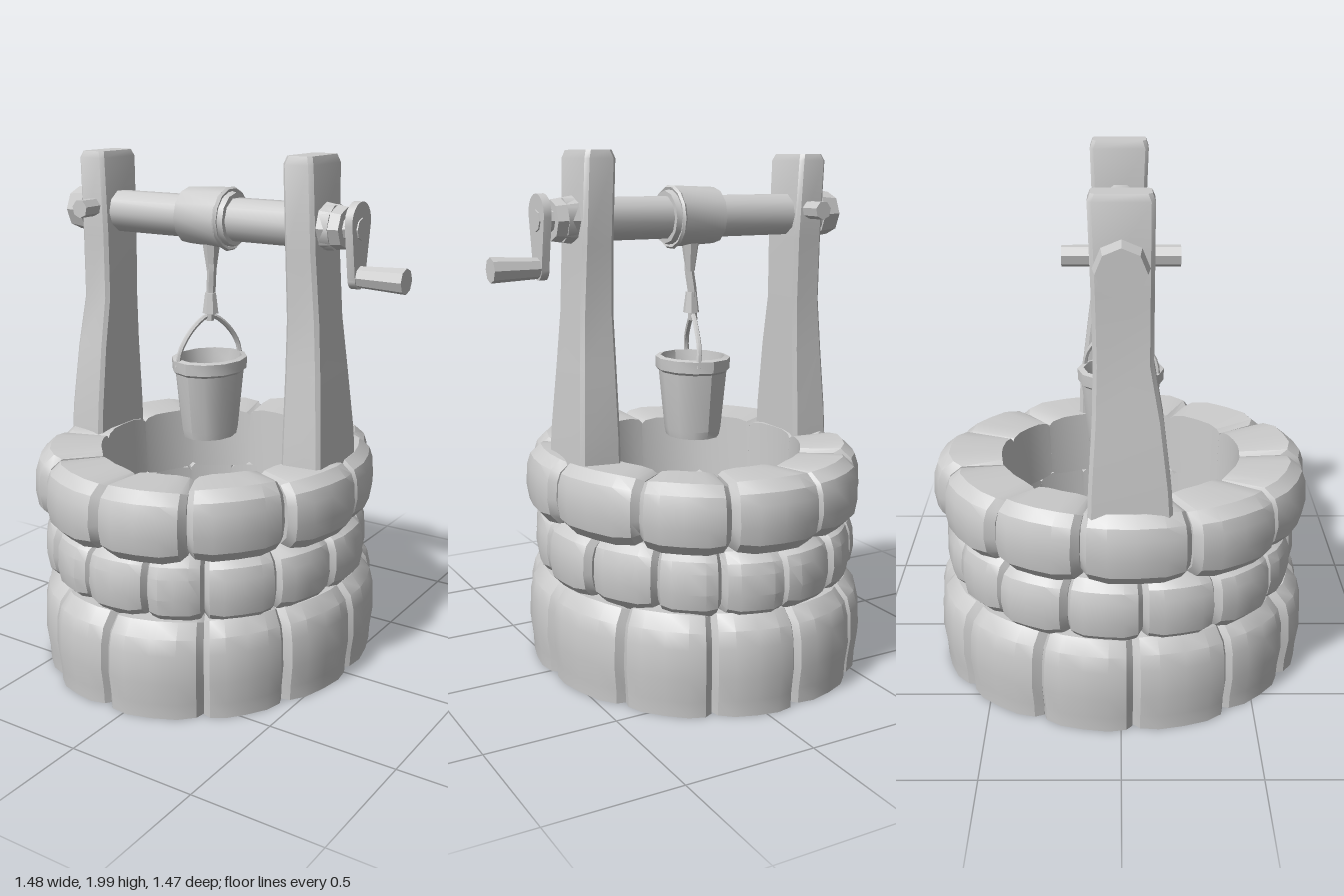
import * as THREE from 'three';
import { toCreasedNormals } from 'three/addons/utils/BufferGeometryUtils.js';

const grey = new THREE.MeshStandardMaterial({ color: 0xcccccc, side: THREE.DoubleSide });
const CX = -0.095; // centre of the well shaft
const AXLE_Y = 1.74;

let seed = 7;
const rnd = (amount) => {
  seed = (seed * 16807) % 2147483647;
  return (seed / 2147483647 - 0.5) * 2 * amount;
};

function add(parent, name, geometry, crease = 0.6) {
  const mesh = new THREE.Mesh(toCreasedNormals(geometry, crease), grey);
  mesh.name = name;
  parent.add(mesh);
  return mesh;
}

// Skin a list of equal-length sections (counter-clockwise about the sweep) and cap both ends
function loft(sections) {
  const n = sections[0].length, last = (sections.length - 1) * n, index = [];
  for (let i = 0; i < sections.length - 1; i++) {
    for (let j = 0; j < n; j++) {
      const a = i * n + j, b = i * n + (j + 1) % n;
      index.push(a, b, b + n, a, b + n, a + n);
    }
  }
  for (let j = 1; j < n - 1; j++) {
    index.push(0, j + 1, j, last, last + j, last + j + 1);
  }
  const geometry = new THREE.BufferGeometry();
  geometry.setAttribute('position', new THREE.Float32BufferAttribute(sections.flat(2), 3));
  geometry.setIndex(index);
  return geometry;
}

// One curved, pillow-shaped stone between two angles
function stone(a0, a1, y0, y1, ro, ri, flatBase) {
  const out = ro + rnd(0.012), top = y1 + rnd(0.008), skew = rnd(0.015);
  const sections = [1, 0.93, 0.75, 0.5, 0.25, 0.07, 0].map((u) => {
    const end = u === 0 || u === 1 ? 1 : u === 0.07 || u === 0.93 ? 0.35 : 0;
    const a = a0 + (a1 - a0) * u;
    const r = out - 0.045 * end + skew * (u - 0.5);
    const b = y0 + (flatBase ? 0 : 0.02 * end), t = top - 0.022 * end;
    const h = t - b;
    const profile = [
      [ri, b], [r - (flatBase ? 0.015 : 0.055), b], [r - 0.012, b + 0.16 * h], [r, b + 0.4 * h],
      [r - 0.005, b + 0.7 * h], [r - 0.02, b + 0.86 * h], [r - 0.065, t], [ri + 0.01, t - 0.008],
    ];
    return profile.map(([rad, y]) => [CX + rad * Math.sin(a) * 0.885, y, rad * Math.cos(a)]);
  });
  return loft(sections);
}

// Bevelled timber: each level is [y, x0, x1, z0, z1]
function timber(levels) {
  const c = 0.014;
  return loft(levels.map(([y, x0, x1, z0, z1]) => [
    [x0, y, z0 + c], [x0, y, z1 - c], [x0 + c, y, z1], [x1 - c, y, z1],
    [x1, y, z1 - c], [x1, y, z0 + c], [x1 - c, y, z0], [x0 + c, y, z0],
  ]));
}

// Cylinder along x between two positions
function barX(parent, name, x0, x1, r0, r1, y, sides = 10) {
  const g = new THREE.CylinderGeometry(r1, r0, x1 - x0, sides);
  g.rotateZ(-Math.PI / 2);
  g.translate((x0 + x1) / 2, y, 0);
  return add(parent, name, g, 0.75);
}

const tube = (points, radius, segments = 16, sides = 6) => new THREE.TubeGeometry(
  new THREE.CatmullRomCurve3(points.map((p) => new THREE.Vector3(...p))), segments, radius, sides);

function buildWall() {
  const wall = new THREE.Group();
  wall.name = 'stoneWall';
  const rows = [
    { name: 'bottomStone', count: 12, start: 0.06, y0: 0, y1: 0.37, ro: 0.735, ri: 0.47, flat: true },
    { name: 'middleStone', count: 15, start: 0.23, y0: 0.35, y1: 0.605, ro: 0.7, ri: 0.465 },
    { name: 'topStone', count: 11, start: -0.05, y0: 0.595, y1: 0.86, ro: 0.73, ri: 0.455 },
  ];
  for (const { name, count, start, y0, y1, ro, ri, flat } of rows) {
    const step = (Math.PI * 2) / count;
    const joints = Array.from({ length: count }, (_, i) => start + i * step + rnd(0.035));
    joints.push(joints[0] + Math.PI * 2);
    for (let i = 0; i < count; i++) {
      add(wall, name, stone(joints[i], joints[i + 1], y0, y1, ro, ri, flat), 0.5);
    }
  }
  return wall;
}

function buildFrame() {
  const frame = new THREE.Group();
  frame.name = 'frame';
  add(frame, 'rightPost', timber([
    [0.8, -0.67, -0.51, -0.12, 0.185], [0.95, -0.665, -0.51, -0.115, 0.175],
    [1.2, -0.65, -0.51, -0.1, 0.145], [1.4, -0.635, -0.51, -0.095, 0.11],
    [1.65, -0.635, -0.51, -0.1, 0.11], [1.95, -0.64, -0.52, -0.11, 0.11], [1.975, -0.63, -0.53, -0.1, 0.1],
  ]));
  add(frame, 'leftPost', timber([
    [0.8, 0.305, 0.475, -0.175, 0.125], [0.95, 0.305, 0.468, -0.17, 0.12],
    [1.2, 0.302, 0.45, -0.14, 0.1], [1.4, 0.3, 0.435, -0.115, 0.09],
    [1.65, 0.295, 0.42, -0.11, 0.1], [1.96, 0.288, 0.41, -0.12, 0.11], [1.99, 0.298, 0.4, -0.11, 0.1],
  ]));
  // Locking peg through the post and the axle
  const peg = new THREE.CylinderGeometry(0.036, 0.036, 0.39, 7);
  peg.rotateX(Math.PI / 2);
  peg.translate(-0.57, 1.76, 0);
  add(frame, 'lockingPeg', peg);
  return frame;
}

function buildWindlass() {
  const windlass = new THREE.Group();
  windlass.name = 'windlass';
  barX(windlass, 'axle', -0.7, 0.46, 0.083, 0.083, AXLE_Y);
  barX(windlass, 'axleCap', -0.73, -0.655, 0.085, 0.095, AXLE_Y, 8);
  barX(windlass, 'axleEnd', 0.4, 0.5, 0.09, 0.075, AXLE_Y, 8);
  barX(windlass, 'axlePin', 0.48, 0.56, 0.045, 0.04, AXLE_Y, 8);
  // Rope drum, slightly fuller on one side of the winding
  barX(windlass, 'drum', -0.185, 0.0, 0.108, 0.116, AXLE_Y + 0.003, 12);
  barX(windlass, 'drumCollar', 0.0, 0.03, 0.106, 0.1, AXLE_Y, 12);
  const wrap = new THREE.TorusGeometry(0.112, 0.01, 5, 14);
  wrap.rotateY(Math.PI / 2);
  wrap.translate(0.003, AXLE_Y, 0);
  add(windlass, 'ropeTurn', wrap, 1);

  // Crank arm: a tapering rounded plate
  const arm = new THREE.Shape();
  arm.absarc(0, 1.765, 0.072, -0.15, Math.PI + 0.15, false);
  arm.lineTo(-0.04, 1.56);
  arm.absarc(0, 1.565, 0.04, Math.PI, Math.PI * 2, false);
  arm.closePath();
  const armGeometry = new THREE.ExtrudeGeometry(arm, { depth: 0.03, bevelEnabled: false, curveSegments: 6 });
  armGeometry.rotateY(Math.PI / 2);
  armGeometry.translate(0.525, 0, 0);
  add(windlass, 'crankArm', armGeometry);
  barX(windlass, 'crankHandle', 0.53, 0.735, 0.038, 0.047, 1.57, 8);
  return windlass;
}

function buildBucket() {
  const bucket = new THREE.Group();
  bucket.name = 'bucket';
  // Hollow tapered pail
  const profile = [[0, 0.88], [0.118, 0.88], [0.125, 0.91], [0.15, 1.14], [0.163, 1.15], [0.165, 1.195],
    [0.142, 1.2], [0.135, 1.14], [0.105, 0.92], [0, 0.92]].map(([r, y]) => new THREE.Vector2(r, y));
  const pail = new THREE.LatheGeometry(profile, 12);
  pail.scale(0.86, 1, 1);
  pail.translate(CX, 0, 0);
  add(bucket, 'pail', pail, 0.6);
  // Bail from rim to rim, peaking at the rope
  add(bucket, 'bail', tube([[-0.15, 1.17, 0.14], [-0.14, 1.24, 0.13], [-0.12, 1.32, 0.07], [CX, 1.36, 0],
    [-0.07, 1.32, -0.07], [-0.05, 1.24, -0.13], [-0.04, 1.17, -0.14]], 0.01, 20), 1);
  // Rope and its knot
  add(bucket, 'rope', tube([[-0.085, 1.66, 0], [-0.08, 1.55, 0.004], [-0.09, 1.45, -0.004], [CX, 1.34, 0]], 0.018), 1);
  const knot = new THREE.CylinderGeometry(0.022, 0.032, 0.08, 7);
  knot.translate(-0.088, 1.41, 0);
  add(bucket, 'knot', knot);
  const flare = new THREE.CylinderGeometry(0.036, 0.018, 0.12, 7);
  flare.translate(-0.083, 1.59, 0);
  add(bucket, 'ropeTop', flare);
  return bucket;
}

export function createModel() {
  const model = new THREE.Group();
  model.name = 'well';
  model.add(buildWall(), buildFrame(), buildWindlass(), buildBucket());
  return model;
}
